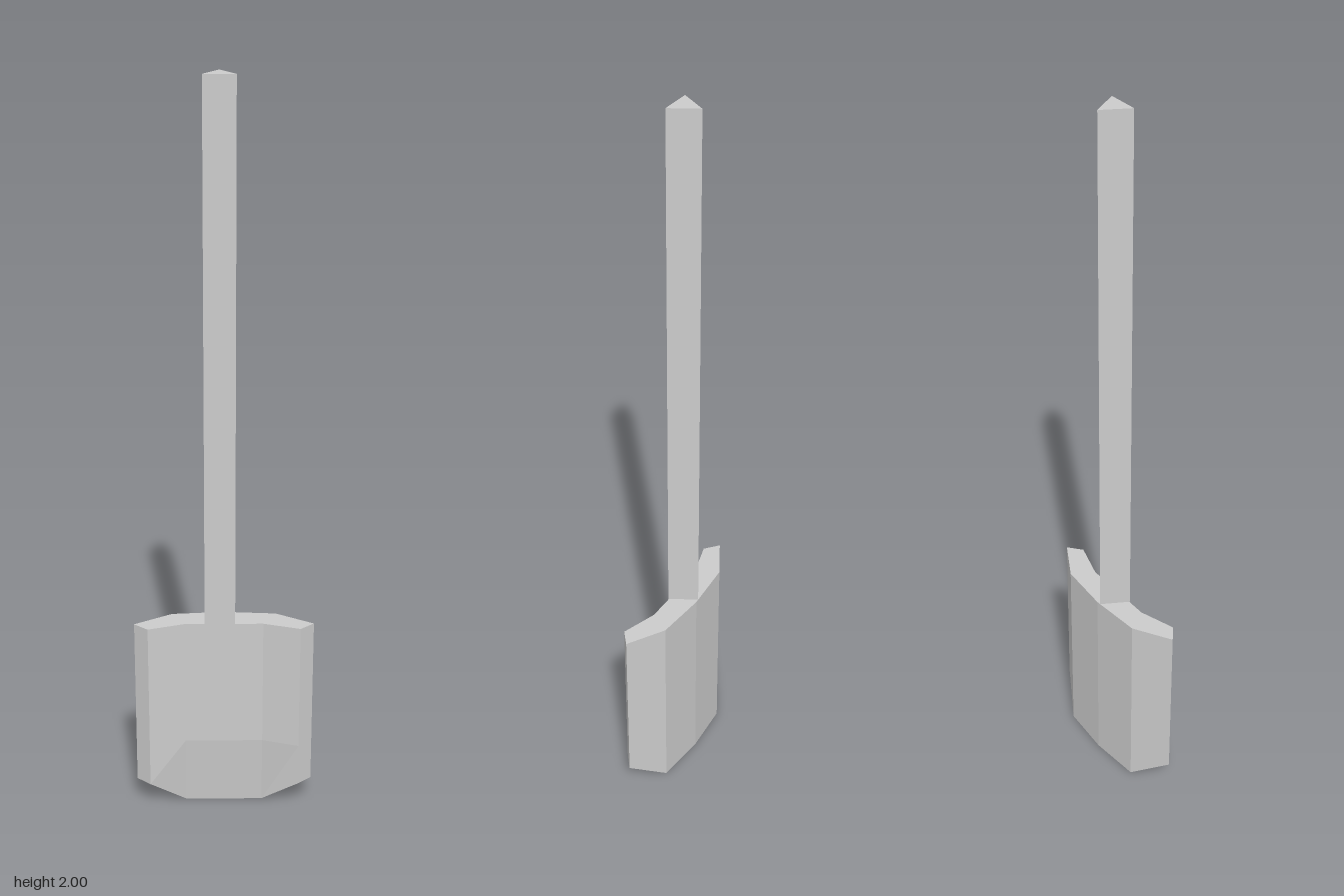
import * as THREE from 'three';

const material = new THREE.MeshStandardMaterial({ color: 0xcccccc, flatShading: true });

// Curved blade: a closed loop of points at each level, front edge then back edge
function bladeGeometry() {
  const x = [-1, -1, 0, 1, 1];
  const frontX = [0.203, 0.105, 0, 0.105, 0.203];
  const backX = [0.24, 0.14, 0, 0.14, 0.24];
  const backZ = [0.018, -0.041, -0.052, -0.041, 0.018];

  // cornerY lifts the two outer columns, midZ sets the depth of the front middle
  const ring = (y, cornerY, midZ) => {
    const height = (i) => (i === 0 || i === 4 ? cornerY : y);
    const front = x.map((s, i) => [s * frontX[i], height(i), i === 0 || i === 4 ? 0.049 : midZ]);
    const back = x.map((s, i) => [s * backX[i], height(i), backZ[i]]);
    return [...front, ...back.reverse()];
  };
  const rings = [ring(0, 0.08, 0), ring(0.2, 0.2, 0.018), ring(0.56, 0.56, 0.018)];

  const positions = [];
  const quad = (a, b, c, d) => positions.push(...a, ...b, ...c, ...a, ...c, ...d);

  // Walls between neighbouring levels
  for (let k = 0; k < rings.length - 1; k++) {
    const low = rings[k], high = rings[k + 1];
    for (let i = 0; i < 10; i++) {
      const j = (i + 1) % 10;
      quad(low[i], low[j], high[j], high[i]);
    }
  }
  // Top face and bevelled lower edge
  const bottom = rings[0], top = rings[2];
  for (let i = 0; i < 4; i++) {
    quad(top[i], top[i + 1], top[8 - i], top[9 - i]);
    quad(bottom[9 - i], bottom[8 - i], bottom[i + 1], bottom[i]);
  }

  const geometry = new THREE.BufferGeometry();
  geometry.setAttribute('position', new THREE.Float32BufferAttribute(positions, 3));
  geometry.computeVertexNormals();
  return geometry;
}

export function createModel() {
  const model = new THREE.Group();
  model.name = 'shovel';

  const blade = new THREE.Mesh(bladeGeometry(), material);
  blade.name = 'blade';

  // Three-sided handle with one edge pointing back
  const length = 1.44;
  const handle = new THREE.Mesh(
    new THREE.CylinderGeometry(0.047, 0.047, length, 3, 1, false, Math.PI),
    material
  );
  handle.name = 'handle';
  handle.position.set(-0.011, 0.56 + length / 2, -0.004);

  model.add(blade, handle);
  return model;
}
